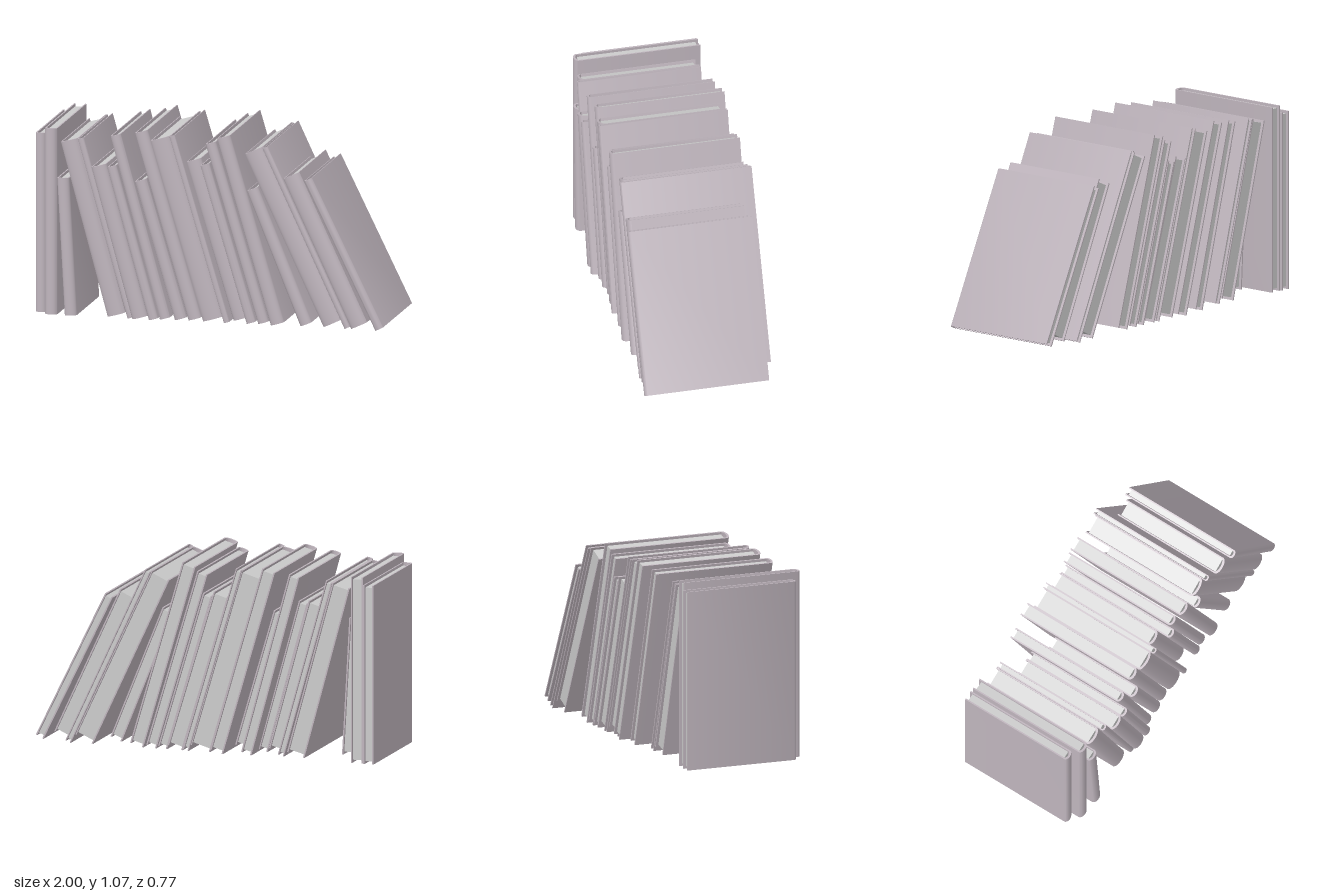
import * as THREE from 'three';
import { toCreasedNormals } from 'three/addons/utils/BufferGeometryUtils.js';

// Each book: foot x (lower left corner), lean, thickness, height, back z, front z
const BOOKS = [
  [-1.0, 0, 0.06, 1.01, -0.38, 0.29],
  [-0.935, 0, 0.07, 1.05, -0.37, 0.345],
  [-0.82, 0.055, 0.07, 0.775, -0.19, 0.36],
  [-0.58, 0.266, 0.105, 1.01, -0.335, 0.345],
  [-0.46, 0.275, 0.037, 1.04, -0.335, 0.365],
  [-0.43, 0.267, 0.09, 0.88, -0.25, 0.385],
  [-0.335, 0.27, 0.055, 0.885, -0.25, 0.385],
  [-0.28, 0.268, 0.062, 1.06, -0.365, 0.355],
  [-0.195, 0.285, 0.07, 0.805, -0.2, 0.355],
  [-0.12, 0.284, 0.077, 1.087, -0.385, 0.345],
  [-0.035, 0.288, 0.12, 1.05, -0.355, 0.355],
  [0.088, 0.29, 0.034, 1.085, -0.365, 0.365],
  [0.125, 0.295, 0.09, 0.925, -0.36, 0.295],
  [0.215, 0.29, 0.055, 0.92, -0.36, 0.36],
  [0.278, 0.29, 0.062, 1.045, -0.36, 0.35],
  [0.355, 0.286, 0.08, 1.085, -0.36, 0.375],
  [0.52, 0.386, 0.07, 0.81, -0.25, 0.36],
  [0.65, 0.438, 0.115, 1.055, -0.36, 0.355],
  [0.775, 0.438, 0.034, 1.1, -0.375, 0.37],
  [0.81, 0.435, 0.1, 0.915, -0.29, 0.37],
  [0.953, 0.456, 0.05, 0.92, -0.32, 0.385],
];

const coverMaterial = new THREE.MeshStandardMaterial({ color: 0xbfb5bd });
const pageMaterial = new THREE.MeshStandardMaterial({ color: 0xcccccc });

// Hard cover: a U-shaped section with a rounded spine, extruded upward
function coverGeometry(w, h, back, front) {
  const t = Math.min(0.008, w * 0.18);
  const bulge = Math.min(0.02, w * 0.28);
  const shoulder = -(front - bulge); // shape y is -z
  const shape = new THREE.Shape();
  shape.moveTo(0, -back);
  shape.lineTo(0, shoulder);
  shape.bezierCurveTo(w * 0.1, shoulder - bulge * 1.33, w * 0.9, shoulder - bulge * 1.33, w, shoulder);
  shape.lineTo(w, -back);
  shape.lineTo(w - t, -back);
  shape.lineTo(w - t, shoulder + t);
  shape.bezierCurveTo(w * 0.8, shoulder + t - bulge, w * 0.2, shoulder + t - bulge, t, shoulder + t);
  shape.lineTo(t, -back);
  shape.closePath();
  const geometry = new THREE.ExtrudeGeometry(shape, { depth: h, bevelEnabled: false, curveSegments: 10 });
  geometry.rotateX(-Math.PI / 2);
  return toCreasedNormals(geometry, 0.6);
}

// Page block, set back from the cover at head, foot and fore-edge
function pageGeometry(w, h, back, front) {
  const t = Math.min(0.008, w * 0.18);
  const inset = 0.015;
  const z0 = back + inset;
  const z1 = front - 0.026;
  const geometry = new THREE.BoxGeometry(w - 2 * t, h - 2 * inset, z1 - z0);
  return geometry.translate(w / 2, h / 2, (z0 + z1) / 2);
}

export function createModel() {
  const row = new THREE.Group();
  row.name = 'bookRow';
  BOOKS.forEach(([x, lean, w, h, back, front], i) => {
    const book = new THREE.Group();
    book.name = `book${i + 1}`;
    const cover = new THREE.Mesh(coverGeometry(w, h, back, front), coverMaterial);
    cover.name = 'cover';
    const pages = new THREE.Mesh(pageGeometry(w, h, back, front), pageMaterial);
    pages.name = 'pages';
    book.add(cover, pages);
    book.position.x = x;
    book.rotation.z = lean;
    row.add(book);
  });
  return row;
}
